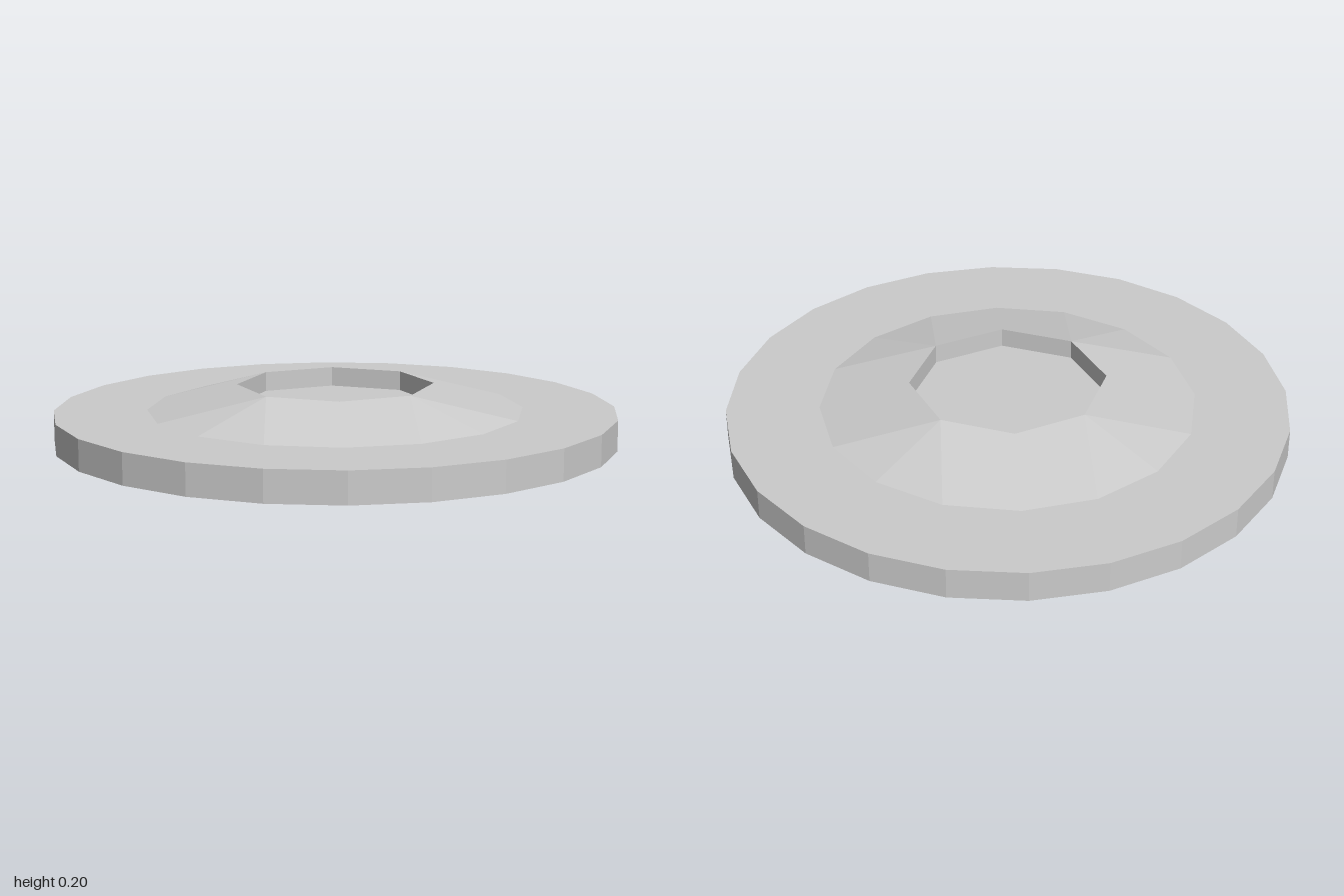
import * as THREE from 'three';

const DISC_H = 0.11, TOP = 0.2, FLOOR = 0.13, R_IN = 0.35, R_OUT = 0.67;

// Point on a horizontal circle, angle in 16ths of a turn from +z towards +x
function ringPoint(radius, step, y) {
  const a = (step / 16) * Math.PI * 2;
  return new THREE.Vector3(Math.sin(a) * radius, y, Math.cos(a) * radius);
}

// Sloping collar joining a 16-sided foot to an 8-sided rim
function collarGeometry() {
  const positions = [], normals = [];
  const inner = (s) => ringPoint(R_IN, s, TOP);
  const outer = (s) => ringPoint(R_OUT, s, DISC_H);
  const addTriangle = (a, b, c, normal) => {
    const n = normal || new THREE.Triangle(a, b, c).getNormal(new THREE.Vector3());
    for (const p of [a, b, c]) {
      positions.push(p.x, p.y, p.z);
      normals.push(n.x, n.y, n.z);
    }
  };
  for (let s = 0; s < 16; s += 4) {
    // Wide six-cornered panel facing an axis, shaded as one face
    const n = new THREE.Triangle(inner(s - 2), outer(s - 1), outer(s + 1)).getNormal(new THREE.Vector3());
    addTriangle(inner(s - 2), outer(s - 1), inner(s), n);
    addTriangle(inner(s), outer(s - 1), outer(s), n);
    addTriangle(inner(s), outer(s), outer(s + 1), n);
    addTriangle(inner(s), outer(s + 1), inner(s + 2), n);
    // Pair of narrow corner facets
    addTriangle(inner(s + 2), outer(s + 1), outer(s + 2));
    addTriangle(inner(s + 2), outer(s + 2), outer(s + 3));
  }
  const geometry = new THREE.BufferGeometry();
  geometry.setAttribute('position', new THREE.Float32BufferAttribute(positions, 3));
  geometry.setAttribute('normal', new THREE.Float32BufferAttribute(normals, 3));
  return geometry;
}

export function createModel() {
  const group = new THREE.Group();
  group.name = 'discWithRecessedCollar';
  const add = (name, geometry, y, options = {}) => {
    const material = new THREE.MeshStandardMaterial({ color: 0xcccccc, ...options });
    const mesh = new THREE.Mesh(geometry, material);
    mesh.name = name;
    mesh.position.y = y;
    group.add(mesh);
  };

  // Flat 24-sided base
  add('baseDisc', new THREE.CylinderGeometry(1, 1, DISC_H, 24), DISC_H / 2, { flatShading: true });

  // Raised collar
  add('collar', collarGeometry(), 0);

  // Octagonal recess: inward-facing walls and a floor
  const depth = TOP - FLOOR;
  add('recessWall', new THREE.CylinderGeometry(R_IN, R_IN, depth, 8, 1, true), FLOOR + depth / 2,
    { flatShading: true, side: THREE.BackSide });
  add('recessFloor', new THREE.CircleGeometry(R_IN, 8).rotateX(-Math.PI / 2), FLOOR);

  return group;
}
